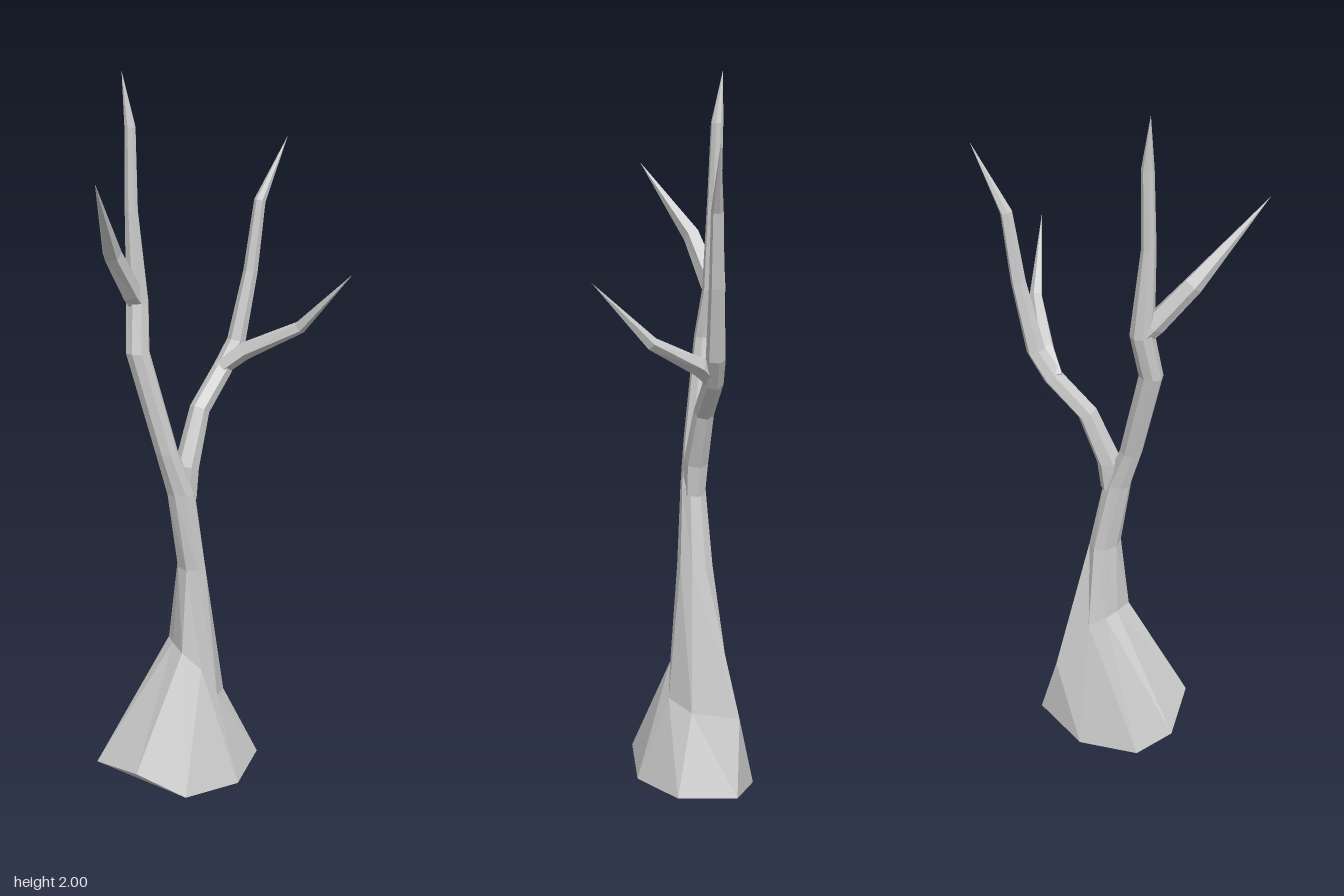
import * as THREE from 'three';

const bark = new THREE.MeshStandardMaterial({ color: 0xcccccc, flatShading: true });

// Faceted skin over rings of equal count; rings run clockwise seen from the tip.
function skin(name, rings) {
  const n = rings[0].length;
  const index = [];
  for (let r = 0; r < rings.length - 1; r++) {
    for (let i = 0; i < n; i++) {
      const a = r * n + i, b = r * n + (i + 1) % n;
      index.push(a, a + n, b + n, a, b + n, b);
    }
  }
  for (let i = 1; i < n - 1; i++) index.push(0, i, i + 1); // closed lower end
  const indexed = new THREE.BufferGeometry();
  indexed.setAttribute('position', new THREE.Float32BufferAttribute(rings.flat(2), 3));
  indexed.setIndex(index);
  const geometry = indexed.toNonIndexed();
  geometry.computeVertexNormals();
  const mesh = new THREE.Mesh(geometry, bark);
  mesh.name = name;
  return mesh;
}

// Level ring of the trunk
function levelRing([x, y, z, rx, rz], n) {
  return Array.from({ length: n }, (_, i) => {
    const t = (i / n) * Math.PI * 2;
    return [x - rx * Math.cos(t), y, z - rz * Math.sin(t)];
  });
}

// Tapering branch through stations [x, y, z, radius]
function branch(name, stations, n = 5) {
  const pts = stations.map(([x, y, z]) => new THREE.Vector3(x, y, z));
  const rings = stations.map(([, , , radius], k) => {
    const dir = pts[Math.min(k + 1, pts.length - 1)].clone().sub(pts[Math.max(k - 1, 0)]).normalize();
    const u = new THREE.Vector3(0, 0, 1).addScaledVector(dir, -dir.z).normalize();
    const v = dir.clone().cross(u);
    return Array.from({ length: n }, (_, i) => {
      const t = (i / n) * Math.PI * 2;
      return pts[k].clone()
        .addScaledVector(u, radius * Math.cos(t))
        .addScaledVector(v, -radius * Math.sin(t))
        .toArray();
    });
  });
  return skin(name, rings);
}

export function createModel() {
  const tree = new THREE.Group();
  tree.name = 'bareTree';

  // Uneven flared root and the ring where it narrows into the trunk
  const rootRing = [
    [-0.31, 0.09, -0.06], [-0.24, 0.02, -0.135], [-0.07, 0, -0.195], [0.10, 0.03, -0.175],
    [0.17, 0.05, -0.02], [0.05, 0.04, 0.12], [-0.13, 0.06, 0.175], [-0.245, 0.115, 0.095],
  ];
  const flareRing = [
    [-0.085, 0.43, -0.04], [-0.08, 0.43, -0.085], [-0.04, 0.4, -0.115], [0.04, 0.24, -0.17],
    [0.07, 0.26, -0.04], [0.02, 0.28, 0.035], [-0.03, 0.37, 0.04], [-0.08, 0.42, 0.02],
  ];

  // Trunk running on into the tallest limb
  const trunk = [
    [-0.032, 0.66, -0.03, 0.04, 0.05],
    [-0.066, 0.88, -0.018, 0.04, 0.035],
    [-0.108, 1.0, -0.014, 0.032, 0.03],
    [-0.182, 1.28, -0.03, 0.033, 0.03],
    [-0.172, 1.41, -0.057, 0.031, 0.033],
    [-0.186, 1.65, -0.055, 0.018, 0.02],
    [-0.184, 1.86, -0.062, 0.015, 0.017],
    [-0.2, 2.0, -0.075, 0, 0],
  ].map((s) => levelRing(s, 8));
  tree.add(skin('trunk', [rootRing, flareRing, ...trunk]));

  // Forked limb on the left, and the side branches
  tree.add(branch('forkLimb', [
    [-0.05, 0.86, -0.025, 0.03], [-0.045, 0.95, -0.03, 0.034], [0.005, 1.1, -0.06, 0.028],
    [0.09, 1.2, -0.1, 0.027], [0.135, 1.27, -0.113, 0.026], [0.18, 1.46, -0.122, 0.02],
    [0.208, 1.65, -0.127, 0.016], [0.3, 1.82, -0.15, 0],
  ], 6));
  tree.add(branch('forkSideBranch', [
    [0.08, 1.2, -0.1, 0.024], [0.14, 1.25, -0.07, 0.026], [0.26, 1.325, 0.03, 0.018], [0.35, 1.485, 0.16, 0],
  ]));
  tree.add(branch('trunkSideBranch', [
    [-0.165, 1.4, -0.06, 0.028], [-0.195, 1.44, -0.04, 0.03], [-0.265, 1.55, 0.02, 0.026], [-0.36, 1.75, 0.19, 0],
  ]));
  return tree;
}
